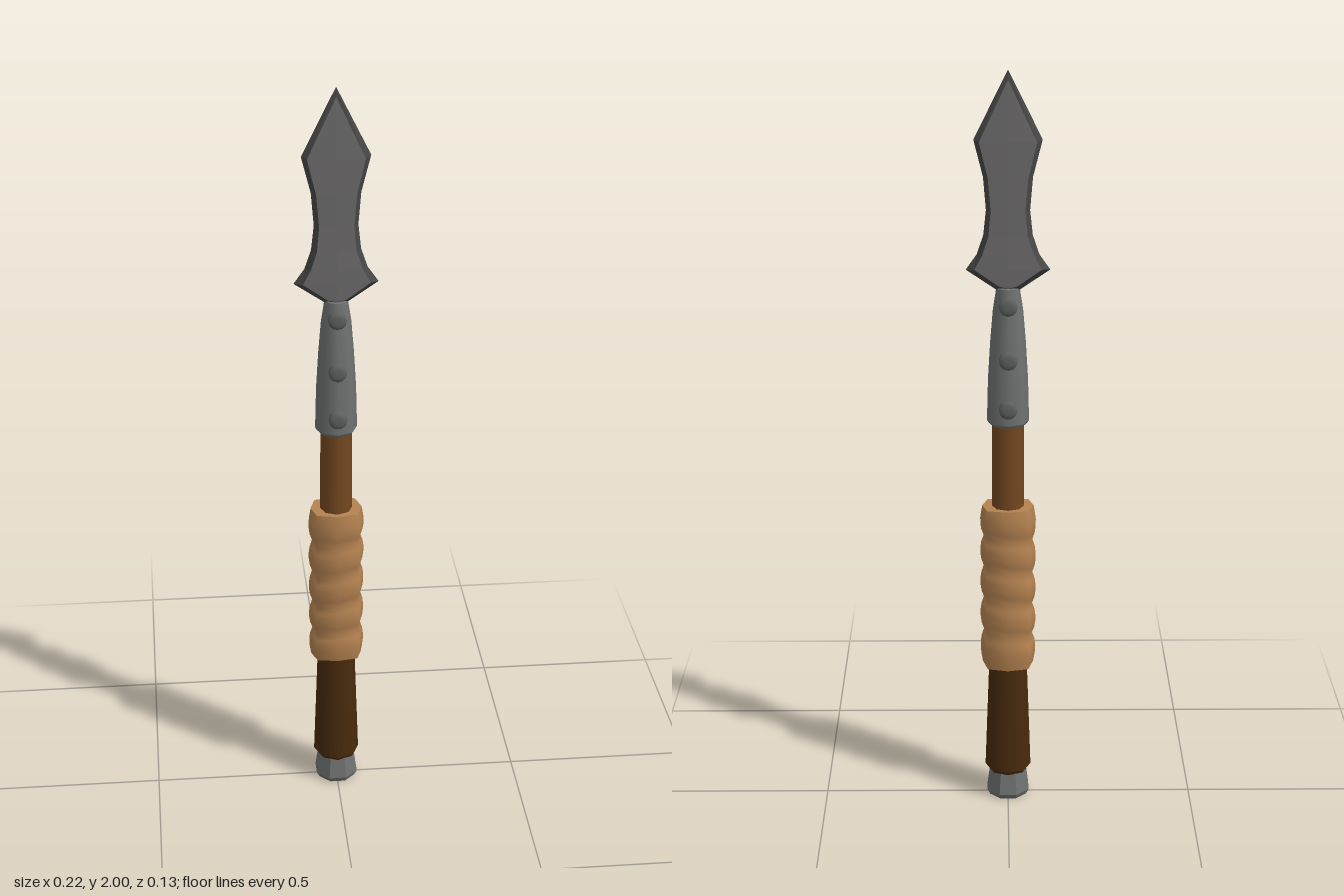
import * as THREE from 'three';

const mat = (name, color, extra = {}) => {
  const m = new THREE.MeshStandardMaterial({ color, ...extra });
  m.name = name;
  return m;
};

export function createModel() {
  const group = new THREE.Group();
  const steel = mat('blade steel', 0x6b6969, { flatShading: true });
  const edge = mat('dark bevel steel', 0x474747, { flatShading: true });
  const iron = mat('socket iron', 0x707272);
  const rivetIron = mat('rivet iron', 0x5e6060);
  const wood = mat('shaft wood', 0x744820);
  const darkWood = mat('dark wood', 0x482a0c);
  const leather = mat('leather wrap', 0xb48250);

  const add = (name, geometry, material) => {
    const mesh = new THREE.Mesh(geometry, material);
    mesh.name = name;
    group.add(mesh);
    return mesh;
  };

  // Tapered eight-sided section standing between two heights
  const taper = (name, y0, y1, r0, r1, material, turn = 0) => {
    const g = new THREE.CylinderGeometry(r1, r0, y1 - y0, 8);
    g.rotateY(turn);
    g.translate(0, (y0 + y1) / 2, 0);
    return add(name, g, material);
  };

  // Pommel: flared octagon with a chamfered foot
  const pommelMat = mat('pommel iron', 0x707272, { flatShading: true });
  taper('pommelFoot', 0, 0.015, 0.053, 0.061, pommelMat, Math.PI / 8);
  taper('pommel', 0.015, 0.085, 0.061, 0.051, pommelMat, Math.PI / 8);

  // Shaft
  taper('lowerShaftRim', 0.075, 0.085, 0.055, 0.062, darkWood);
  taper('lowerShaft', 0.085, 0.42, 0.062, 0.05, darkWood);
  taper('upperShaft', 0.42, 1.1, 0.046, 0.041, wood);

  // Leather grip: five bulging bands, oval in plan and slightly slanted
  const plan = [[1, 0], [0.8, 0.8], [0, 1], [-0.8, 0.8], [-1, 0], [-0.8, -0.8], [0, -1], [0.8, -0.8]];
  const bands = 5, steps = 5, rows = bands * steps, n = plan.length;
  const pos = [], idx = [];
  for (let i = 0; i <= rows; i++) {
    const t = i / rows;
    const end = i === 0 || i === rows;
    const bulge = Math.abs(Math.sin(t * bands * Math.PI));
    const r = (end ? 0.068 : 0.065) + 0.009 * Math.pow(bulge, 0.7);
    for (const [px, pz] of plan) {
      const slant = 0.01 * (px - pz) * Math.sin(t * Math.PI) + 0.006 * pz * (1 - t);
      pos.push(px * r, 0.395 + 0.452 * t + slant, pz * r * 0.83);
    }
  }
  for (let i = 0; i < rows; i++) {
    for (let j = 0; j < n; j++) {
      const k = (j + 1) % n;
      const a = i * n + j, b = i * n + k, c = b + n, d = a + n;
      idx.push(a, d, c, a, c, b);
    }
  }
  // End caps with their own vertices, so the rims stay sharp
  for (const row of [0, rows]) {
    const s = pos.length / 3;
    for (let j = 0; j < n * 3; j++) pos.push(pos[row * n * 3 + j]);
    for (let j = 1; j < n - 1; j++) {
      if (row) idx.push(s, s + j + 1, s + j);
      else idx.push(s, s + j, s + j + 1);
    }
  }
  const grip = new THREE.BufferGeometry();
  grip.setAttribute('position', new THREE.Float32BufferAttribute(pos, 3));
  grip.setIndex(idx);
  grip.computeVertexNormals();
  add('gripWrap', grip, leather);

  // Socket holding the blade
  const socketProfile = [[0.055, 1.085], [0.052, 1.2], [0.046, 1.3], [0.039, 1.385], [0.03, 1.443]];
  add('socket', new THREE.LatheGeometry(socketProfile.map(([x, y]) => new THREE.Vector2(x, y)), 8), iron);
  taper('socketRim', 1.077, 1.085, 0.05, 0.055, iron);
  taper('socketTop', 1.443, 1.447, 0.03, 0.022, iron);

  // Rivets: domed studs on the front and back of the socket
  const stud = [[0.024, -0.02], [0.024, -0.007], [0.019, -0.002], [0.011, 0], [0, 0]];
  const studGeo = new THREE.LatheGeometry(stud.map(([x, y]) => new THREE.Vector2(x, y)), 12);
  studGeo.rotateX(Math.PI / 2);
  for (const [y, z] of [[1.13, 0.067], [1.26, 0.06], [1.4, 0.047]]) {
    for (const side of [1, -1]) {
      const m = add(side > 0 ? 'frontRivet' : 'backRivet', studGeo, rivetIron);
      m.position.set(0, y, side * z);
      if (side < 0) m.rotation.y = Math.PI;
    }
  }

  // Blade stations: edge x, edge y, face x, face y, face half thickness
  const stations = [
    [0, 1.43, 0, 1.445, 0.025],
    [0.03, 1.437, 0.024, 1.452, 0.025],
    [0.108, 1.49, 0.086, 1.495, 0.023],
    [0.08, 1.53, 0.066, 1.532, 0.022],
    [0.063, 1.58, 0.05, 1.58, 0.02],
    [0.056, 1.645, 0.044, 1.645, 0.018],
    [0.063, 1.73, 0.051, 1.73, 0.016],
    [0.087, 1.825, 0.073, 1.82, 0.012],
    [0, 2, 0, 1.975, 0.003],
  ];
  const faces = [], bevels = [];
  for (const sx of [1, -1]) {
    for (const sz of [1, -1]) {
      const quad = (list, a, b, c, d) => {
        const q = [a, b, c, a, c, d].map(([x, y, z]) => [x * sx, y, z * sz]);
        if (sx * sz < 0) q.reverse();
        list.push(...q.flat());
      };
      for (let i = 0; i < stations.length - 1; i++) {
        const [ex, ey, fx, fy, t] = stations[i];
        const [gx, gy, hx, hy, u] = stations[i + 1];
        const ridge = (x, z) => z + 0.03 * x;
        quad(faces, [0, fy, ridge(fx, t)], [fx, fy, t], [hx, hy, u], [0, hy, ridge(hx, u)]);
        quad(bevels, [fx, fy, t], [ex, ey, 0], [gx, gy, 0], [hx, hy, u]);
      }
    }
  }
  const blade = new THREE.BufferGeometry();
  blade.setAttribute('position', new THREE.Float32BufferAttribute([...faces, ...bevels], 3));
  blade.addGroup(0, faces.length / 3, 0);
  blade.addGroup(faces.length / 3, bevels.length / 3, 1);
  blade.computeVertexNormals();
  add('blade', blade, [steel, edge]);

  return group;
}
